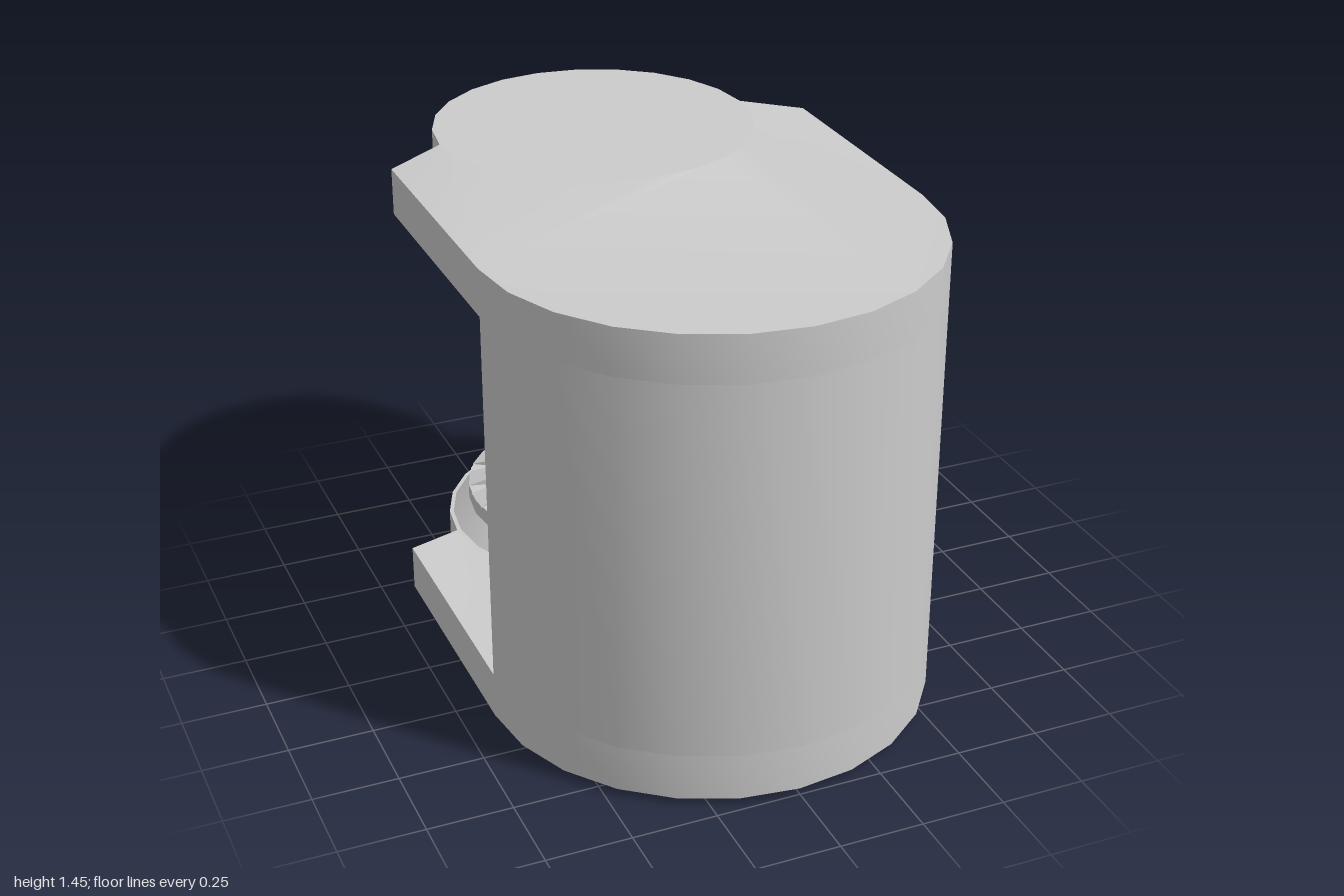
import * as THREE from 'three';
import { mergeGeometries, toCreasedNormals } from 'three/addons/utils/BufferGeometryUtils.js';

const HEIGHT = 1.45, HALF = 0.66, FRONT_Z = 0.34; // body
const DISC_R = 0.485, DISC_Z = -0.515;            // round rear lobe
const PLATE = 0.14, CROWN = 0.02;                 // arm thickness and outer slope
const material = new THREE.MeshStandardMaterial({ color: 0xcccccc });

function addMesh(parent, name, geometry) {
  const mesh = new THREE.Mesh(geometry, material);
  mesh.name = name;
  parent.add(mesh);
  return mesh;
}

// Points of a circular arc in the ground plane (x, z)
function arc(cz, r, from, to, steps) {
  return Array.from({ length: steps + 1 }, (_, i) => {
    const a = from + (to - from) * i / steps;
    return new THREE.Vector2(r * Math.cos(a), cz + r * Math.sin(a));
  });
}

// Extrude a ground-plane outline between two heights
function prism(points, y0, y1) {
  const geo = new THREE.ExtrudeGeometry(new THREE.Shape(points), { depth: y1 - y0, bevelEnabled: false });
  return geo.rotateX(Math.PI / 2).translate(0, y1, 0);
}

const frontArc = () => arc(FRONT_Z, HALF, 0, Math.PI, 12);

// Curved front wall with a shallow concave inner face
function wallGeometry() {
  const w = 0.52, depth = 0.19;
  const r = (w * w + depth * depth) / (2 * depth);
  const half = Math.asin(w / r);
  const inner = arc(FRONT_Z + depth - r, r, Math.PI / 2 + half, Math.PI / 2 - half, 12);
  const y = CROWN + PLATE;
  return toCreasedNormals(prism([...frontArc(), ...inner], y, HEIGHT - y), 0.5);
}

// Arm plate that slopes gently outwards to meet the round lobe
function plateGeometry() {
  const geo = prism([
    ...frontArc(),
    new THREE.Vector2(-HALF, -0.43),
    ...arc(DISC_Z, DISC_R, Math.PI, 0, 12),
    new THREE.Vector2(HALF, -0.43),
  ], CROWN, CROWN + PLATE);
  const p = geo.attributes.position;
  for (let i = 0; i < p.count; i++) {
    if (Math.hypot(p.getX(i), p.getZ(i) - DISC_Z) < DISC_R + 0.002) p.setY(i, p.getY(i) - CROWN);
  }
  return toCreasedNormals(geo, 0.5);
}

function lathe(profile) {
  const geo = new THREE.LatheGeometry(profile.map(([r, y]) => new THREE.Vector2(r, y)), 24);
  return toCreasedNormals(geo, 0.4);
}

// Ring of wedge teeth, separated by radial slots
function teethGeometry(count = 18) {
  const section = new THREE.Shape([[0.24, 0.23], [0.42, 0.23], [0.42, 0.236], [0.23, 0.295]]
    .map(([r, y]) => new THREE.Vector2(r, y)));
  const pitch = Math.PI * 2 / count;
  const teeth = [];
  for (let k = 0; k < count; k++) {
    const geo = new THREE.ExtrudeGeometry(section, { depth: 1, bevelEnabled: false });
    const p = geo.attributes.position;
    for (let i = 0; i < p.count; i++) {
      const r = p.getX(i), a = (k + (p.getZ(i) - 0.5) * 0.64) * pitch;
      p.setXYZ(i, r * Math.cos(a), p.getY(i), r * Math.sin(a));
    }
    geo.computeVertexNormals();
    teeth.push(geo);
  }
  return mergeGeometries(teeth);
}

// One arm, built as the lower one
function createArm(name) {
  const arm = new THREE.Group();
  arm.name = name;
  addMesh(arm, 'plate', plateGeometry());
  const lobe = addMesh(arm, 'roundLobe', new THREE.CylinderGeometry(DISC_R, DISC_R, PLATE, 24));
  lobe.position.set(0, PLATE / 2, DISC_Z);

  const pad = new THREE.Group();
  pad.name = 'gripPad';
  pad.position.z = DISC_Z;
  addMesh(pad, 'padBase', lathe([[0.475, 0.138], [0.415, 0.183], [0.42, 0.187], [0.42, 0.235], [0, 0.235]]));
  addMesh(pad, 'padHub', lathe([[0.26, 0.23], [0.232, 0.295], [0, 0.295]]));
  addMesh(pad, 'padTeeth', teethGeometry());
  arm.add(pad);
  return arm;
}

export function createModel() {
  const model = new THREE.Group();
  model.name = 'clampBracket';
  addMesh(model, 'frontWall', wallGeometry());
  model.add(createArm('lowerArm'));

  // The upper arm is the lower one turned over
  const upper = createArm('upperArm');
  upper.rotation.z = Math.PI;
  upper.position.y = HEIGHT;
  model.add(upper);
  return model;
}
